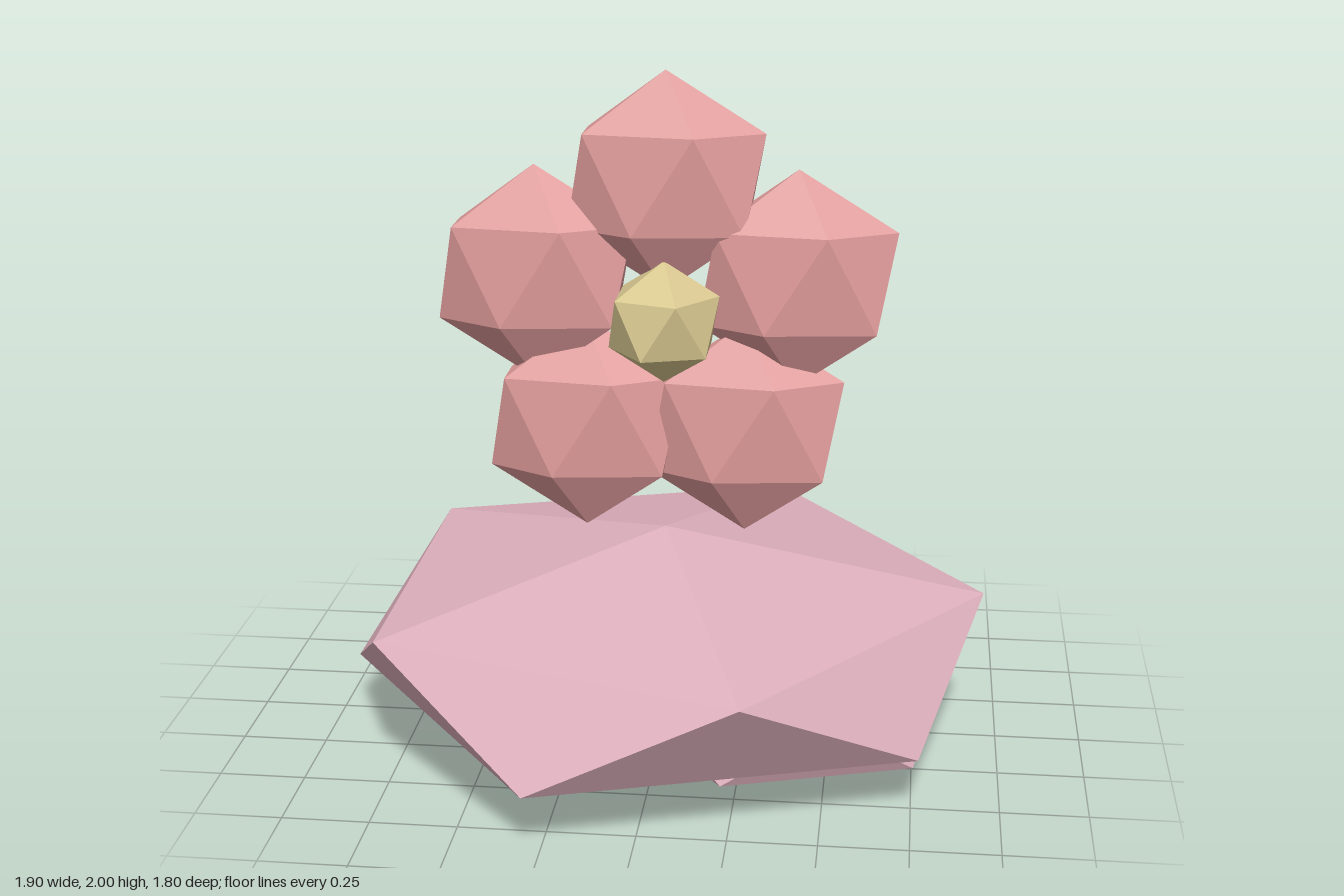
import * as THREE from 'three';

// Unit icosahedron standing on a pole, with two staggered five-point rings
function makeGem() {
  const ringY = 1 / Math.sqrt(5), ringR = 2 / Math.sqrt(5);
  const ring = (y, offset) => [0, 1, 2, 3, 4].map((k) => {
    const a = (k * 72 + offset) * Math.PI / 180;
    return new THREE.Vector3(ringR * Math.cos(a), y, ringR * Math.sin(a));
  });
  const upper = ring(ringY, 0), lower = ring(-ringY, 36);
  const top = new THREE.Vector3(0, 1, 0), bottom = new THREE.Vector3(0, -1, 0);
  const points = [];
  for (let k = 0; k < 5; k++) {
    const n = (k + 1) % 5;
    points.push(
      top, upper[n], upper[k],
      upper[k], upper[n], lower[k],
      lower[k], upper[n], lower[n],
      lower[k], lower[n], bottom);
  }
  const geometry = new THREE.BufferGeometry().setFromPoints(points);
  geometry.computeVertexNormals();
  return geometry;
}

function material(name, color) {
  const m = new THREE.MeshStandardMaterial({ color, flatShading: true });
  m.name = name;
  return m;
}

export function createModel() {
  const model = new THREE.Group();
  model.name = 'flowerOnRock';
  const gem = makeGem();
  const palePink = material('pale pink', 0xdeb0bd);
  const coral = material('coral pink', 0xe09c9b);
  const yellow = material('soft yellow', 0xd9c890);

  function add(name, mat, radius, scale, position, parent = model) {
    const mesh = new THREE.Mesh(gem, mat);
    mesh.name = name;
    mesh.scale.set(...scale).multiplyScalar(radius);
    mesh.position.set(...position);
    parent.add(mesh);
  }

  // Flattened base with two smaller lumps tucked underneath
  add('base', palePink, 1.06, [1, 0.3, 1], [0, 0.319, 0]);
  add('leftLump', palePink, 0.53, [1, 0.4, 1], [0.37, 0.215, 0.21]);
  add('rightLump', coral, 0.583, [1, 0.4, 1], [-0.32, 0.236, -0.26]);

  // Five upright petals around a round centre
  const flower = new THREE.Group();
  flower.name = 'flower';
  flower.position.y = 1.28;
  model.add(flower);
  for (let i = 0; i < 5; i++) {
    const a = i * Math.PI * 2 / 5;
    add('petal' + (i + 1), coral, 0.32, [1, 1, 0.4],
      [0.4 * Math.sin(a), 0.4 * Math.cos(a), 0], flower);
  }
  add('flowerCentre', yellow, 0.18, [1, 1, 1], [0, 0, 0.05], flower);

  return model;
}
